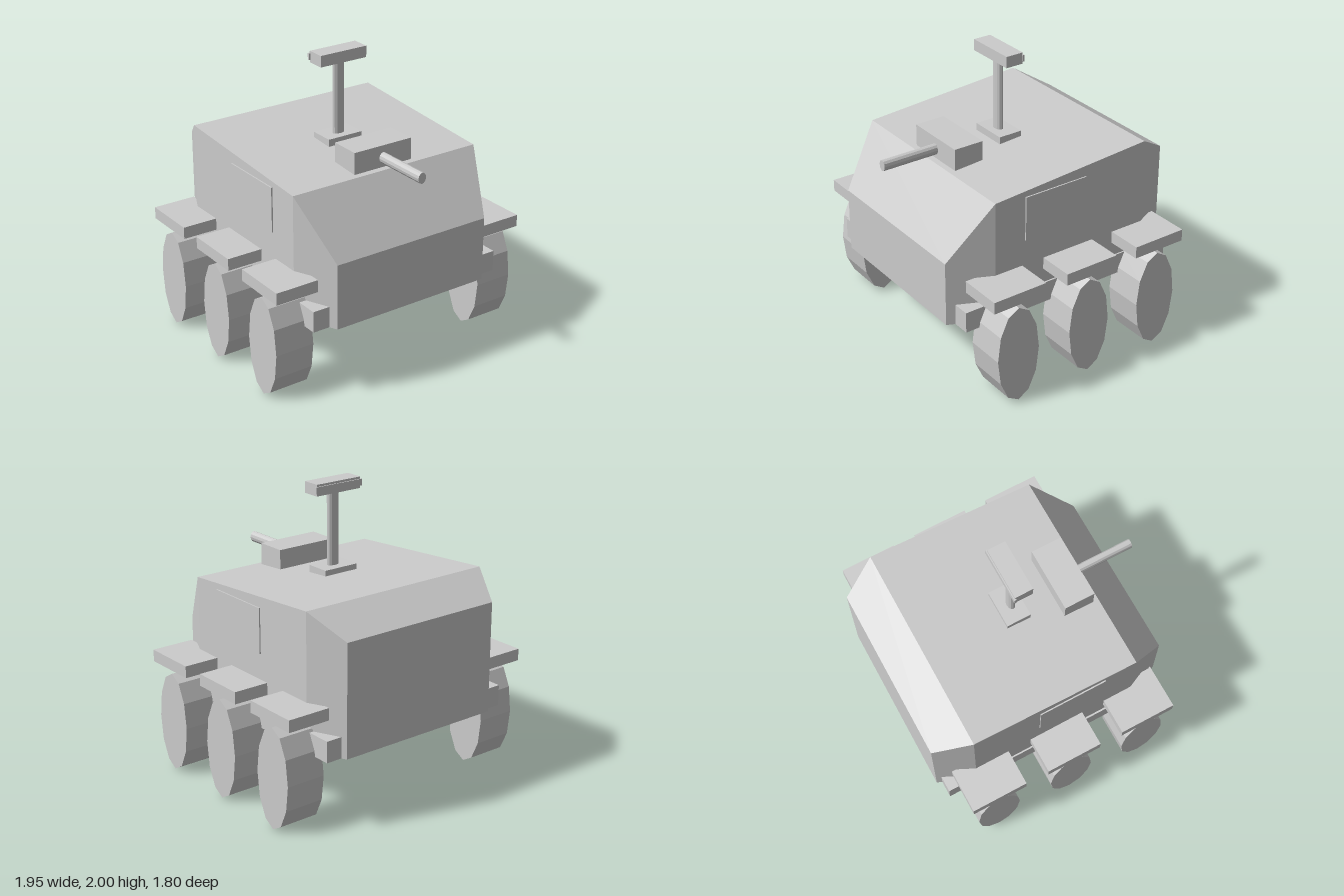
import * as THREE from 'three';

const material = new THREE.MeshStandardMaterial({ color: 0xcccccc, flatShading: true });

function addMesh(parent, name, geometry) {
  const mesh = new THREE.Mesh(geometry, material);
  mesh.name = name;
  parent.add(mesh);
  return mesh;
}

// Box given by its limits on each axis
function addBox(parent, name, [x0, x1], [y0, y1], [z0, z1]) {
  const mesh = addMesh(parent, name, new THREE.BoxGeometry(x1 - x0, y1 - y0, z1 - z0));
  mesh.position.set((x0 + x1) / 2, (y0 + y1) / 2, (z0 + z1) / 2);
  return mesh;
}

// Hull lofted from upright rectangles, front to back
function hullGeometry() {
  const bottom = 0.49;
  const stations = [ // z, half width, roof height
    [0.83, 0.59, 0.94],
    [0.54, 0.722, 1.335],
    [-0.65, 0.725, 1.418],
    [-0.9, 0.605, 1.26],
  ];
  // Corners run anticlockwise as seen from the front
  const rings = stations.map(([z, w, top]) => [[-w, bottom, z], [w, bottom, z], [w, top, z], [-w, top, z]]);
  const positions = [];
  const quad = (a, b, c, d) => positions.push(...a, ...b, ...c, ...a, ...c, ...d);
  for (let i = 0; i < rings.length - 1; i++) {
    for (let j = 0; j < 4; j++) {
      const k = (j + 1) % 4;
      quad(rings[i][j], rings[i + 1][j], rings[i + 1][k], rings[i][k]);
    }
  }
  quad(...rings[0]);
  quad(...rings[rings.length - 1].slice().reverse());
  const geometry = new THREE.BufferGeometry();
  geometry.setAttribute('position', new THREE.Float32BufferAttribute(positions, 3));
  geometry.computeVertexNormals();
  return geometry;
}

export function createModel() {
  const model = new THREE.Group();
  model.name = 'sixWheeledVehicle';

  addMesh(model, 'hull', hullGeometry());

  // Running gear and side panels, mirrored
  for (const [side, s] of [['left', 1], ['right', -1]]) {
    const span = (a, b) => (s > 0 ? [a, b] : [-b, -a]);
    const group = new THREE.Group();
    group.name = side + 'Side';
    model.add(group);

    addBox(group, 'sideRail', span(0.61, 0.735), [0.49, 0.635], [-0.865, 0.775]);
    addBox(group, 'sidePanel', span(0.7, 0.732), [1.0, 1.31], [-0.17, 0.31]);

    ['front', 'middle', 'rear'].forEach((place, i) => {
      const z = 0.53 - i * 0.566;
      // Tall oval wheel with twelve sides
      const tyre = new THREE.CylinderGeometry(1, 1, 0.28, 12).rotateZ(Math.PI / 2).scale(1, 0.35, 0.16);
      addMesh(group, place + 'Wheel', tyre).position.set(s * 0.82, 0.352, z);
      addBox(group, place + 'Mudguard', span(0.668, 0.975), [0.737, 0.82], [z - 0.199, z + 0.199]);
    });
  }

  // Gun on the front of the roof
  const gun = new THREE.Group();
  gun.name = 'roofGun';
  model.add(gun);
  addBox(gun, 'gunMount', [-0.225, 0.225], [1.335, 1.488], [0.285, 0.5]);
  const barrel = new THREE.CylinderGeometry(1, 1, 0.42, 12).rotateX(Math.PI / 2).scale(0.03, 0.038, 1);
  addMesh(gun, 'barrel', barrel).position.set(0, 1.403, 0.693);

  // Sensor mast
  const mast = new THREE.Group();
  mast.name = 'sensorMast';
  model.add(mast);
  addBox(mast, 'mastBase', [-0.132, 0.132], [1.36, 1.417], [-0.088, 0.083]);
  const pole = new THREE.CylinderGeometry(1, 1, 0.55, 12).scale(0.044, 1, 0.027);
  addMesh(mast, 'pole', pole).position.set(0, 1.66, 0.003);
  addBox(mast, 'sensorHead', [-0.18, 0.18], [1.922, 2.0], [-0.062, 0.065]);
  addBox(mast, 'sensorBackPlate', [-0.19, 0.19], [1.94, 1.985], [-0.07, -0.055]);

  return model;
}
